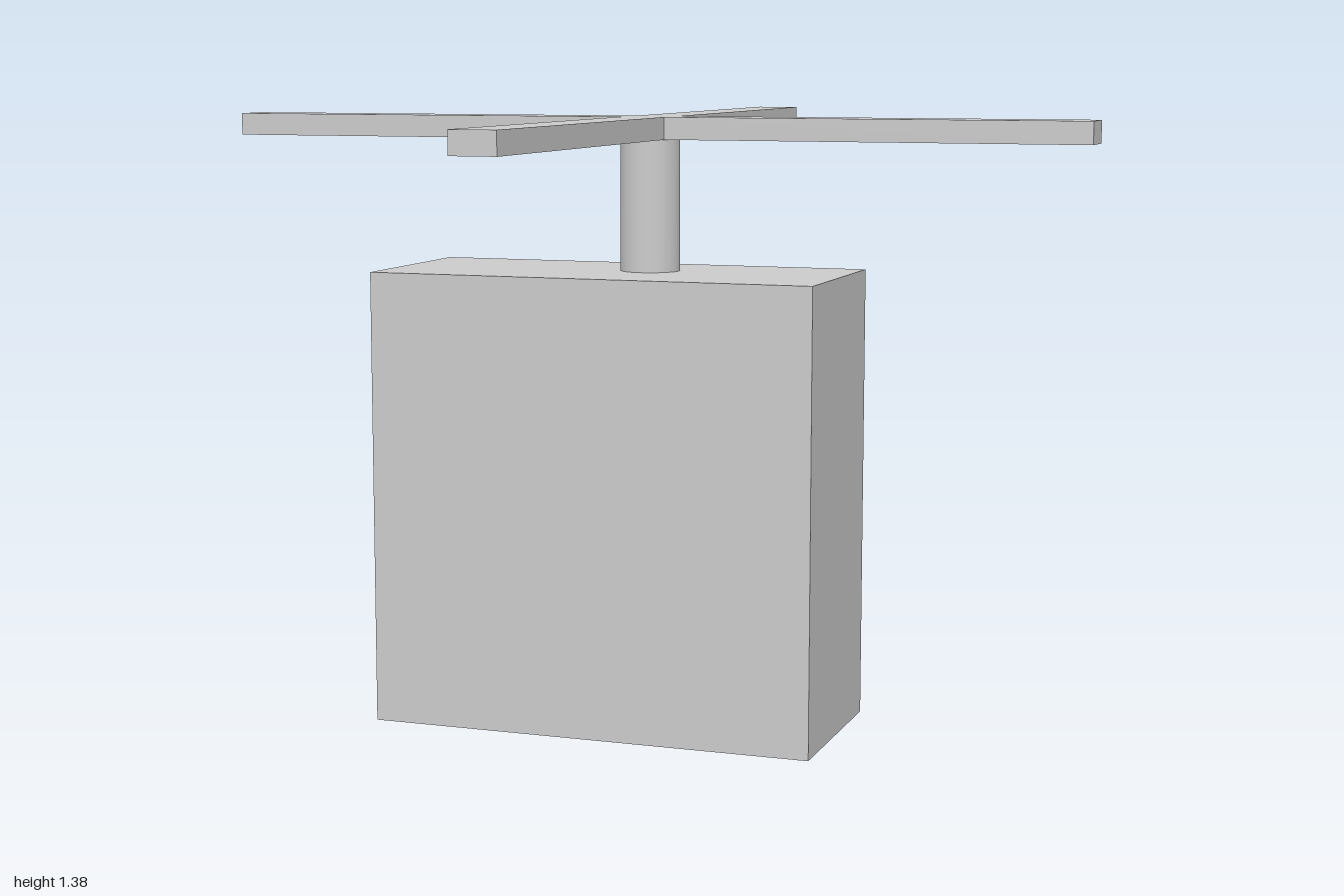
import * as THREE from 'three';

const BODY_TOP = 1.03;
const ROTOR_BASE = 1.325;
const ROTOR_THICKNESS = 0.05;

export function createModel() {
  const group = new THREE.Group();
  const material = new THREE.MeshStandardMaterial({ color: 0xcccccc });

  const add = (name, geometry, x, y, z) => {
    const mesh = new THREE.Mesh(geometry, material);
    mesh.name = name;
    mesh.position.set(x, y, z);
    group.add(mesh);
  };

  // Box body, set slightly off the mast axis
  add('body', new THREE.BoxGeometry(1.027, BODY_TOP, 0.44), -0.0615, BODY_TOP / 2, 0.035);

  // Round mast
  const mastHeight = ROTOR_BASE - BODY_TOP;
  add('mast', new THREE.CylinderGeometry(0.067, 0.067, mastHeight, 32), 0, BODY_TOP + mastHeight / 2, 0);

  // Four-bladed rotor: one arm outline turned around the centre
  const outline = [];
  const centre = new THREE.Vector2();
  for (let i = 0; i < 4; i++) {
    for (const [x, y] of [[0.05, -0.05], [1, -0.05], [1, 0.05]]) {
      outline.push(new THREE.Vector2(x, y).rotateAround(centre, i * Math.PI / 2));
    }
  }
  const rotor = new THREE.ExtrudeGeometry(new THREE.Shape(outline), {
    depth: ROTOR_THICKNESS, bevelEnabled: false,
  });
  rotor.rotateX(-Math.PI / 2);
  add('rotorBlades', rotor, 0, ROTOR_BASE, 0);

  return group;
}
